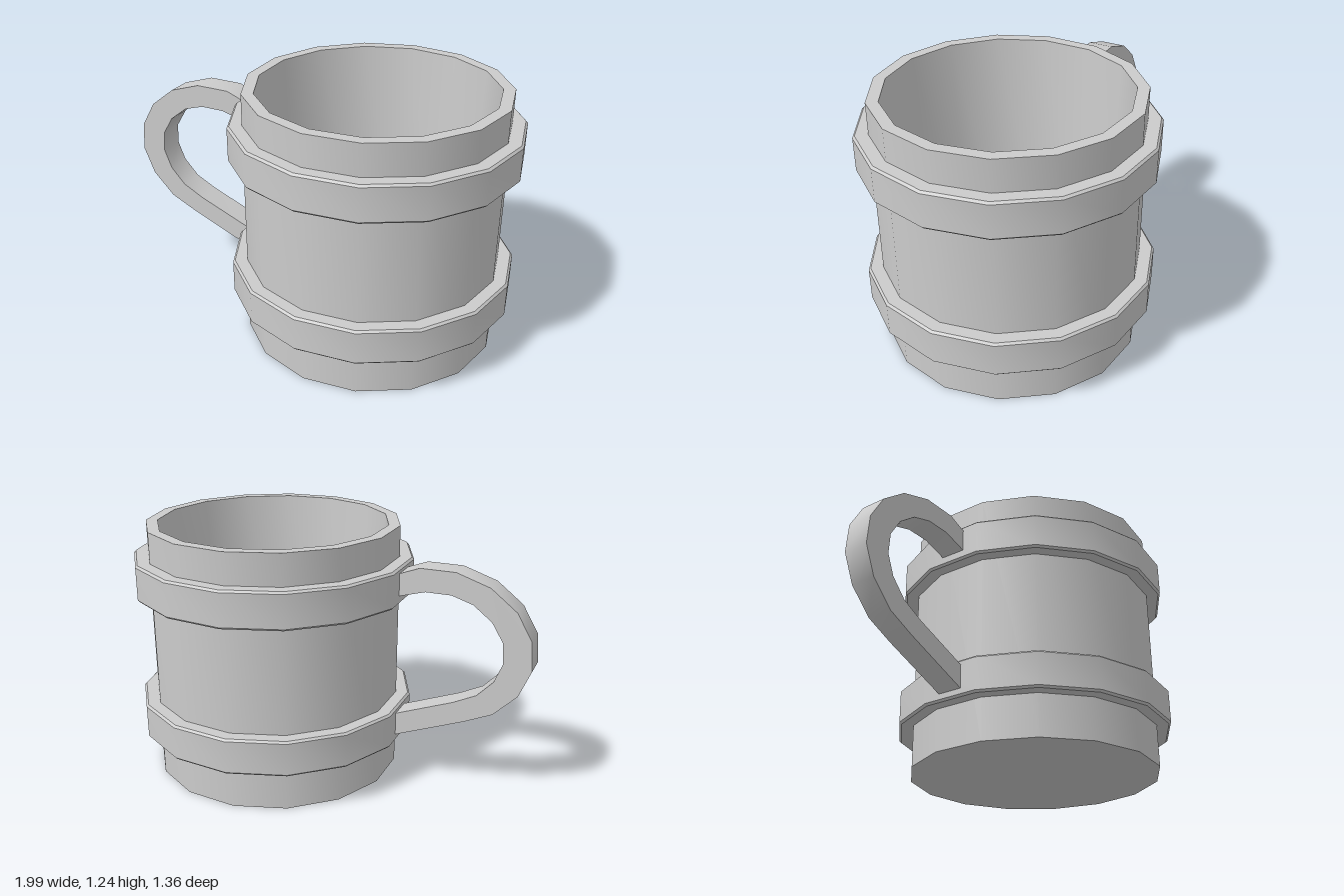
import * as THREE from 'three';
import { toCreasedNormals } from 'three/addons/utils/BufferGeometryUtils.js';

const SIDES = 15;
const CENTRE_X = 0.305;
const CREASE = 0.7;

const material = new THREE.MeshStandardMaterial({ color: 0xcccccc });

function part(name, geometry) {
  const mesh = new THREE.Mesh(toCreasedNormals(geometry, CREASE), material);
  mesh.name = name;
  return mesh;
}

// Fifteen-sided turned part with a corner pointing to +x
function turned(name, profile) {
  const points = profile.map(([r, y]) => new THREE.Vector2(r, y));
  const mesh = part(name, new THREE.LatheGeometry(points, SIDES, Math.PI / 2));
  mesh.position.x = CENTRE_X;
  return mesh;
}

// Raised hoop with slightly bevelled edges
function band(name, bottom, top) {
  const r = 0.685, b = 0.01;
  return turned(name, [
    [0.6, bottom], [r - b, bottom], [r, bottom + b],
    [r, top - b], [r - b, top], [0.6, top],
  ]);
}

export function createModel() {
  const mug = new THREE.Group();
  mug.name = 'mug';

  // Hollow body: underside, outer wall, rim, tapered inner wall, floor
  mug.add(turned('body', [
    [0, 0], [0.616, 0], [0.616, 1.235], [0.56, 1.235], [0.5, 0.08], [0, 0.08],
  ]));

  mug.add(band('lowerBand', 0.205, 0.382));
  mug.add(band('upperBand', 0.908, 1.085));

  // Handle: outer edge from top to bottom, then inner edge back up
  const outline = [
    [-0.33, 1.045], [-0.365, 1.06], [-0.46, 1.096], [-0.63, 1.096], [-0.79, 1.043],
    [-0.915, 0.945], [-0.988, 0.82], [-1, 0.68], [-0.945, 0.547], [-0.835, 0.437],
    [-0.7, 0.375], [-0.33, 0.228],
    [-0.33, 0.342], [-0.645, 0.465], [-0.755, 0.52], [-0.83, 0.6], [-0.868, 0.695],
    [-0.86, 0.795], [-0.805, 0.885], [-0.715, 0.955], [-0.613, 0.987], [-0.49, 0.987],
    [-0.365, 0.952], [-0.33, 0.942],
  ];
  const shape = new THREE.Shape(outline.map(([x, y]) => new THREE.Vector2(x, y)));
  const width = 0.124;
  const handle = part('handle', new THREE.ExtrudeGeometry(shape, { depth: width, bevelEnabled: false }));
  handle.position.z = -width / 2;
  mug.add(handle);

  return mug;
}
